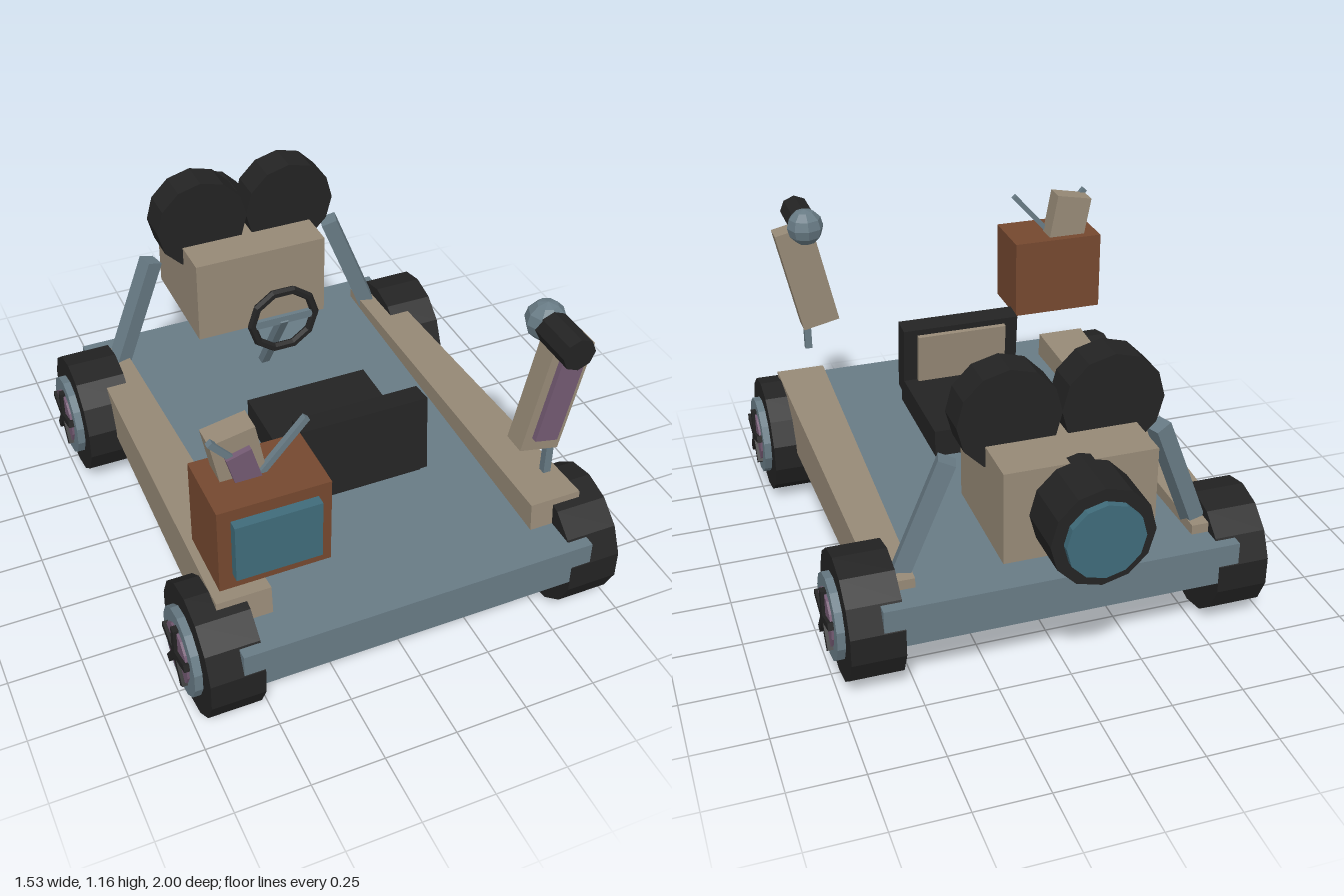
import * as THREE from 'three';

const paint = (name, color) => {
  const m = new THREE.MeshStandardMaterial({ color });
  m.name = name;
  return m;
};

export function createModel() {
  const steel = paint('blue grey steel', 0x687b85);
  const tan = paint('tan', 0x968976);
  const black = paint('rubber black', 0x232323);
  const brown = paint('wood brown', 0x75482f);
  const teal = paint('glass teal', 0x3f6b7a);
  const purple = paint('dusty purple', 0x735a72);

  const root = new THREE.Group();
  root.name = 'kart';

  // Faceted mesh
  const add = (name, geo, mat, x = 0, y = 0, z = 0, parent = root) => {
    const g = geo.index ? geo.toNonIndexed() : geo;
    g.computeVertexNormals();
    const mesh = new THREE.Mesh(g, mat);
    mesh.name = name;
    mesh.position.set(x, y, z);
    parent.add(mesh);
    return mesh;
  };
  const box = (w, h, d) => new THREE.BoxGeometry(w, h, d);
  // Cylinders along x and z, with a corner pointing up
  const cylX = (r, len, n = 14) =>
    new THREE.CylinderGeometry(r, r, len, n, 1, false, Math.PI / 2).rotateZ(Math.PI / 2);
  const cylZ = (r, len, n = 12) => new THREE.CylinderGeometry(r, r, len, n).rotateX(Math.PI / 2);
  // Square bar between two points
  const bar = (name, a, b, t, mat, parent = root) => {
    const p = new THREE.Vector3(...a), q = new THREE.Vector3(...b);
    const mid = p.clone().add(q).multiplyScalar(0.5);
    const m = add(name, box(t, p.distanceTo(q), t), mat, mid.x, mid.y, mid.z, parent);
    m.quaternion.setFromUnitVectors(new THREE.Vector3(0, 1, 0), q.sub(p).normalize());
    return m;
  };

  add('deck', box(1.22, 0.145, 1.695), steel, 0, 0.2825, 0.1475);

  // Wheels with rim, hub and five spokes
  for (const side of [-1, 1]) {
    for (const z of [0.78, -0.485]) {
      const wheel = new THREE.Group();
      wheel.name = 'wheel';
      wheel.position.set(side * 0.63, 0.223, z);
      root.add(wheel);
      add('tyre', cylX(0.222, 0.18), black, 0, 0, 0, wheel);
      add('rim', cylX(0.148, 0.03), steel, side * 0.102, 0, 0, wheel);
      add('hub', cylX(0.1, 0.02), purple, side * 0.115, 0, 0, wheel);
      for (let i = 0; i < 5; i++) {
        const g = box(0.03, 0.108, 0.026).translate(0, 0.054, 0).rotateX(i * Math.PI * 0.4);
        add('spoke', g, black, side * 0.121, 0, 0, wheel);
      }
    }

    // Side sill, tapering towards the back
    const sill = box(1, 1, 1);
    const p = sill.attributes.position;
    for (let i = 0; i < p.count; i++) {
      const front = p.getZ(i) > 0, top = p.getY(i) > 0, outer = p.getX(i) * side > 0;
      p.setXYZ(i,
        side * (front ? (outer ? 0.64 : 0.458) : (outer ? 0.61 : 0.48)),
        top ? (front ? 0.453 : 0.39) : 0.238,
        front ? (top ? 0.845 : 0.87) : -0.6);
    }
    add('sideSill', sill, tan);

    // Engine strut and rear drum
    bar('strut', [side * 0.355, 0.775, -0.555], [side * 0.525, 0.345, -0.53], 0.06, steel);
    add('drum', cylZ(0.171, 0.12), black, side * 0.17, 0.913, -0.555);
  }

  // Engine block with round lamp housing
  add('engineBlock', box(0.5, 0.317, 0.436), tan, 0, 0.676, -0.572);
  add('lampHousing', cylZ(0.168, 0.22), black, 0, 0.677, -0.865);
  add('lampGlass', cylZ(0.127, 0.03), teal, 0, 0.677, -0.985);

  // Seat facing the steering wheel
  add('seatBase', box(0.444, 0.1, 0.46), black, 0, 0.476, 0.285);
  const back = new THREE.Group();
  back.name = 'seatBack';
  back.position.set(0, 0.606, 0.504);
  back.rotation.x = -0.1;
  root.add(back);
  add('backrest', box(0.444, 0.275, 0.08), black, 0, 0, 0, back);
  add('backCushion', box(0.34, 0.21, 0.02), tan, 0, 0.01, -0.049, back);

  // Steering wheel and column
  const ring = new THREE.TorusGeometry(0.121, 0.016, 6, 10);
  add('steeringWheel', ring, black, 0, 0.677, -0.15);
  add('steeringSpokes', box(0.22, 0.03, 0.016), steel, 0, 0.677, -0.15);
  bar('steeringColumn', [0, 0.677, -0.15], [0, 0.345, -0.355], 0.03, steel);

  // Television on the right
  add('televisionCase', box(0.353, 0.303, 0.235), brown, -0.483, 0.767, 0.828);
  add('televisionScreen', box(0.27, 0.205, 0.035), teal, -0.483, 0.775, 0.961);
  const tuner = add('tunerBox', box(0.142, 0.22, 0.08), tan, -0.539, 0.966, 0.783);
  tuner.rotation.z = 0.19;
  const tunerPanel = add('tunerPanel', box(0.08, 0.14, 0.02), purple, -0.53, 0.95, 0.834);
  tunerPanel.rotation.z = 0.27;
  for (const tip of [-0.631, -0.335]) {
    bar('antenna', [-0.483, 0.91, 0.825], [tip, 1.075, 0.825], 0.02, steel);
  }

  // Leaning post with a spout on the left
  const post = new THREE.Group();
  post.name = 'leaningPost';
  post.position.set(0.513, 0.873, 0.785);
  post.rotation.z = -0.215;
  root.add(post);
  add('postBody', box(0.142, 0.4, 0.08), tan, 0, 0, 0, post);
  add('postPanel', box(0.083, 0.303, 0.022), purple, 0, 0, 0.049, post);
  add('postRod', box(0.026, 0.2, 0.026), steel, 0.517, 0.66, 0.808);
  add('knob', new THREE.SphereGeometry(0.068, 8, 6), steel, 0.516, 1.095, 0.71);
  add('spout', cylZ(0.056, 0.195, 8), black, 0.516, 1.093, 0.807);

  return root;
}
